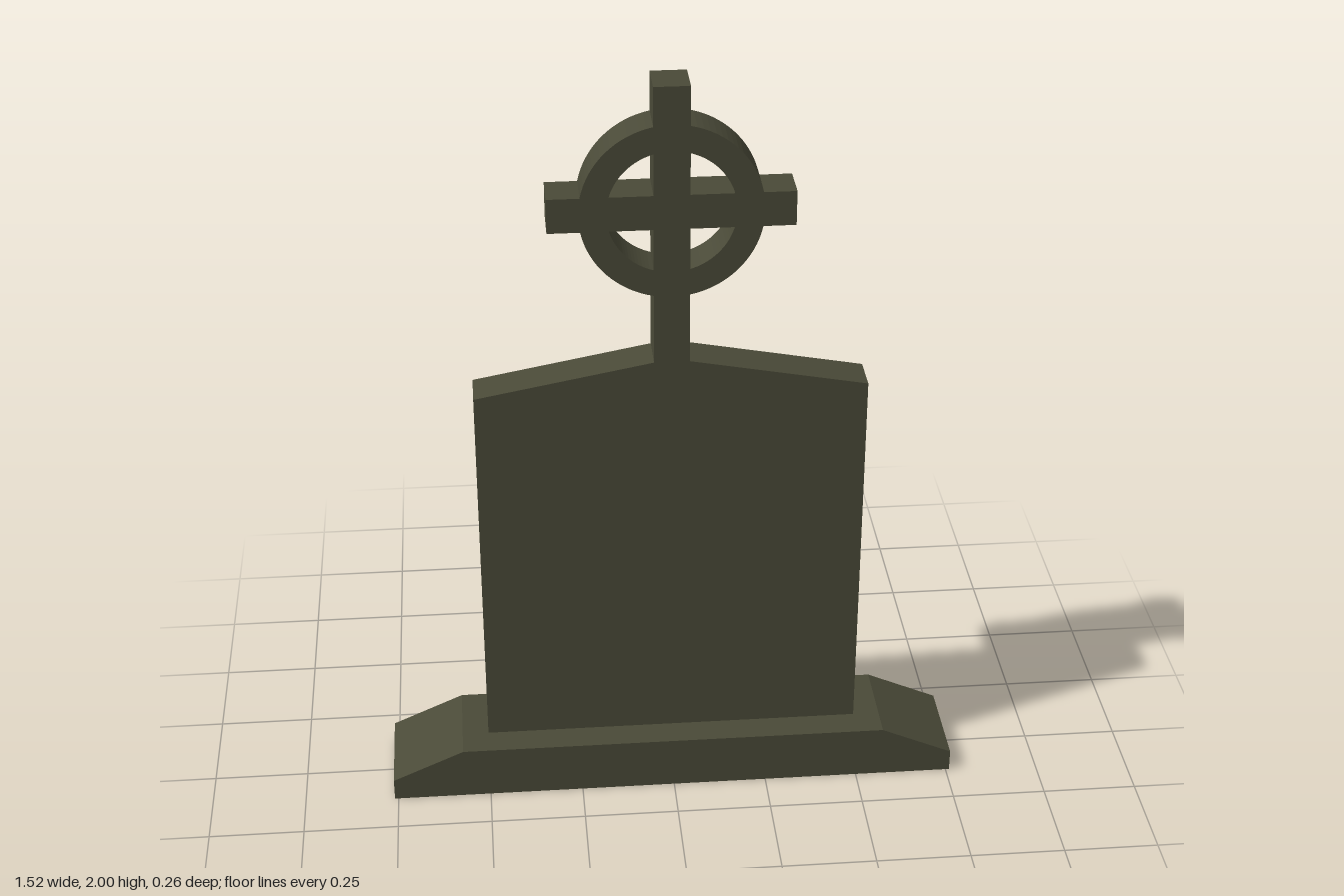
import * as THREE from 'three';

const stone = new THREE.MeshStandardMaterial({ color: 0x4a4a38 });
stone.name = 'mossy stone';

const BACK = -0.055, FRONT = 0.05; // faces shared by the slab and cross
const FLOOR = -0.02;               // depth of the panel sunk into the back

// Extrude a shape between two z planes
function slice(name, shape, z0, z1) {
  const geo = new THREE.ExtrudeGeometry(shape, { depth: z1 - z0, bevelEnabled: false, curveSegments: 8 });
  geo.translate(0, 0, z0);
  const mesh = new THREE.Mesh(geo, stone);
  mesh.name = name;
  return mesh;
}

const outline = (pts) => new THREE.Shape(pts.map(([x, y]) => new THREE.Vector2(x, y)));
const rect = (x0, y0, x1, y1) => outline([[x0, y0], [x1, y0], [x1, y1], [x0, y1]]);

// Slab outline with a gently peaked top
const slabShape = (w, bottom, shoulder, peak, flat) =>
  outline([[-w, bottom], [w, bottom], [w, shoulder], [flat, peak], [-flat, peak], [-w, shoulder]]);

export function createModel() {
  const model = new THREE.Group();
  model.name = 'gravestone';

  // Plinth with sloping ends
  model.add(slice('plinth', outline([
    [-0.76, 0], [0.76, 0], [0.76, 0.06], [0.57, 0.145], [-0.57, 0.145], [-0.76, 0.06],
  ]), -0.13, 0.13));

  // Slab: solid front with a raised rim around the back panel
  const slab = new THREE.Group();
  slab.name = 'slab';
  slab.add(slice('slabFront', slabShape(0.5, 0.145, 1.18, 1.265, 0.045), FLOOR, FRONT));
  const rim = slabShape(0.5, 0.145, 1.18, 1.265, 0.045);
  rim.holes.push(slabShape(0.455, 0.19, 1.137, 1.215, 0.04));
  slab.add(slice('backRim', rim, BACK, FLOOR));
  model.add(slab);

  // Ringed cross
  const cross = new THREE.Group();
  cross.name = 'cross';
  const cy = 1.675, half = 0.045, outer = 0.228, inner = 0.16;
  cross.add(slice('upright', rect(-half, 1.265, half, 2), BACK, FRONT));
  cross.add(slice('leftArm', rect(half, cy - half, 0.305, cy + half), BACK, FRONT));
  cross.add(slice('rightArm', rect(-0.305, cy - half, -half, cy + half), BACK, FRONT));

  // Four ring segments, each fitted between two arms
  const a = Math.asin(half / outer), b = Math.asin(half / inner);
  for (let i = 0; i < 4; i++) {
    const quarter = new THREE.Shape();
    quarter.absarc(0, 0, outer, a, Math.PI / 2 - a, false);
    quarter.absarc(0, 0, inner, Math.PI / 2 - b, b, true);
    const segment = slice('ringSegment', quarter, BACK, FRONT);
    segment.rotation.z = i * Math.PI / 2;
    segment.position.y = cy;
    cross.add(segment);
  }
  model.add(cross);

  return model;
}
